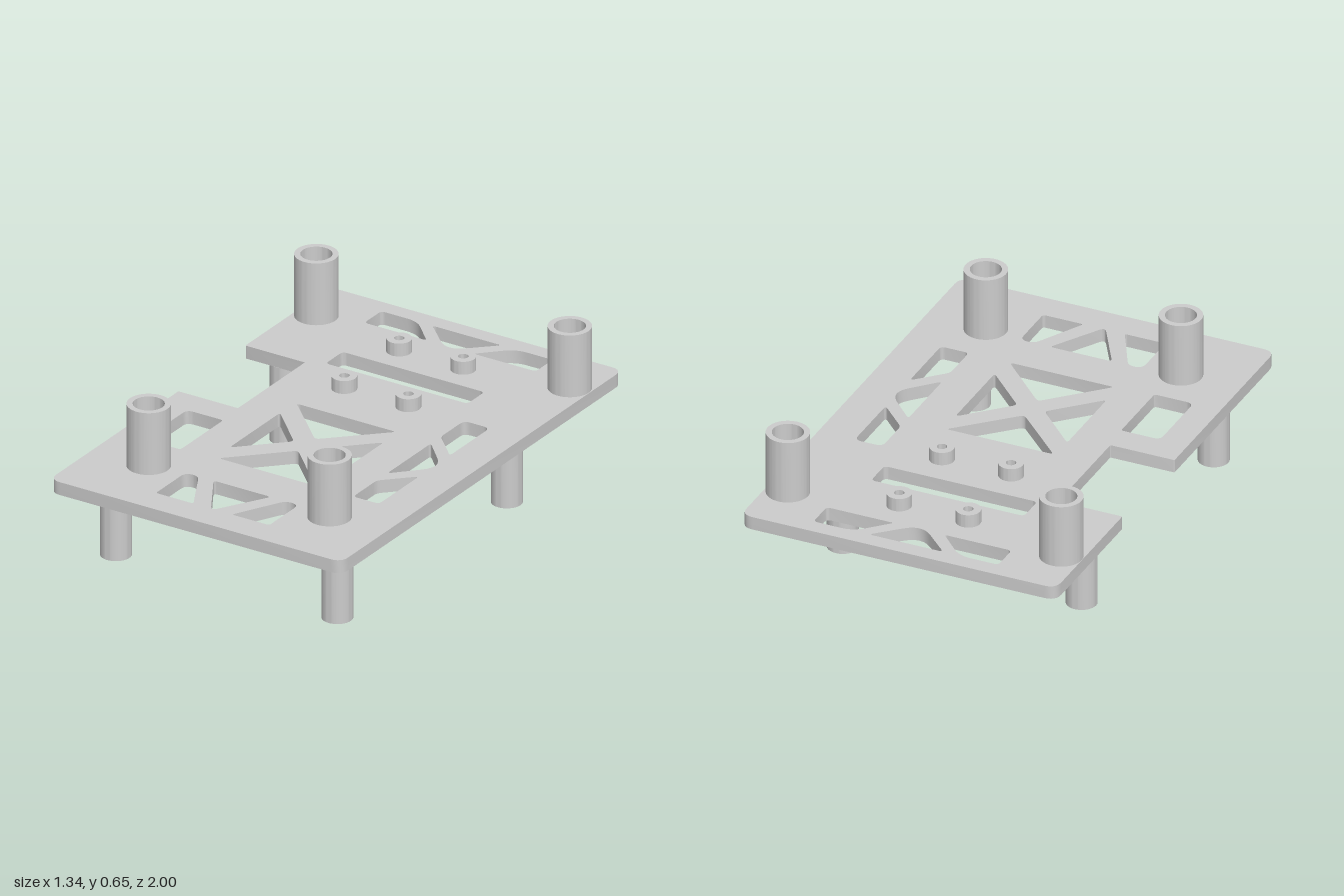
import * as THREE from 'three';
import { toCreasedNormals } from 'three/addons/utils/BufferGeometryUtils.js';

const material = new THREE.MeshStandardMaterial({ color: 0xcccccc });
const PLATE_BOTTOM = 0.33, PLATE_TOP = 0.385;

// Traces a polygon of [x, z, cornerCut] points with rounded corners.
function rounded(path, points, cut = 0.02) {
  const v = points.map(([x, z]) => new THREE.Vector2(x, -z));
  const n = v.length;
  v.forEach((p, i) => {
    const c = points[i][2] ?? cut;
    const toward = (q) => p.clone().add(q.clone().sub(p).setLength(c));
    const a = toward(v[(i + n - 1) % n]), b = toward(v[(i + 1) % n]);
    if (i === 0) path.moveTo(a.x, a.y); else path.lineTo(a.x, a.y);
    path.quadraticCurveTo(p.x, p.y, b.x, b.y);
  });
  path.closePath();
  return path;
}

// Extrudes a flat shape upward between two heights.
function slab(name, shape, y0, y1, curveSegments) {
  const geo = new THREE.ExtrudeGeometry(shape, { depth: y1 - y0, bevelEnabled: false, curveSegments });
  geo.rotateX(-Math.PI / 2).translate(0, y0, 0);
  const mesh = new THREE.Mesh(toCreasedNormals(geo, 0.6), material);
  mesh.name = name;
  return mesh;
}

// Hollow upright cylinder.
function tube(name, x, z, outer, inner, y0, y1) {
  const shape = new THREE.Shape().absarc(0, 0, outer, 0, Math.PI * 2);
  shape.holes.push(new THREE.Path().absarc(0, 0, inner, 0, Math.PI * 2, true));
  const mesh = slab(name, shape, y0, y1, 40);
  mesh.position.set(x, 0, z);
  return mesh;
}

const rect = (x0, x1, z0, z1) => [[x0, z0], [x1, z0], [x1, z1], [x0, z1]];
const mirror = (points) => points.map(([x, z, c]) => [-x, z, c]);

export function createModel() {
  const group = new THREE.Group();

  // Plate outline, counter-clockwise from above, with a notch in the right edge
  const plate = rounded(new THREE.Shape(), [
    [-0.67, -0.393], [-0.397, -0.393], [-0.397, 0.083], [-0.67, 0.083],
    [-0.67, 1, 0.05], [0.669, 1, 0.05], [0.669, -1, 0.05], [-0.67, -1, 0.05],
  ], 0.006);

  // Cutouts that come in mirrored pairs
  const backWedge = [[-0.393, -0.93], [-0.225, -0.93, 0.05], [-0.108, -0.81, 0.015], [-0.393, -0.81]];
  const sideTriangle = [[-0.238, 0.03, 0.02], [-0.238, 0.39, 0.02], [-0.058, 0.21, 0.02]];
  const frontWedge = [[-0.26, 0.667, 0.035], [-0.2, 0.667, 0.026], [-0.088, 0.878, 0.012], [-0.26, 0.878, 0.012]];

  const cutouts = [
    backWedge, mirror(backWedge), sideTriangle, mirror(sideTriangle), frontWedge, mirror(frontWedge),
    // Back triangle and long slot
    [[-0.158, -0.93], [0.158, -0.93], [0, -0.778, 0.08]],
    rect(-0.325, 0.325, -0.55, -0.43),
    // Central crossed truss
    [[-0.228, -0.073, 0.02], [0.228, -0.073, 0.02], [0, 0.15, 0.02]],
    [[-0.222, 0.492, 0.02], [0.222, 0.492, 0.02], [0, 0.27, 0.02]],
    // Front triangle
    [[-0.132, 0.667], [0.132, 0.667], [0, 0.89, 0.03]],
    // Left-side truss
    [[0.396, -0.296, 0.03], [0.514, -0.296, 0.03], [0.514, -0.012], [0.396, -0.13]],
    [[0.396, -0.06], [0.544, 0.094, 0.08], [0.396, 0.25]],
    [[0.514, 0.207], [0.514, 0.492], [0.396, 0.492], [0.396, 0.325]],
    // Right-side window
    [[-0.553, 0.203, 0.03], [-0.387, 0.203, 0.012], [-0.387, 0.507, 0.012], [-0.553, 0.507, 0.03]],
  ];
  for (const points of cutouts) plate.holes.push(rounded(new THREE.Path(), points));
  group.add(slab('plate', plate, PLATE_BOTTOM, PLATE_TOP, 6));

  // Wide sockets on top
  for (const [x, z] of [[-0.583, -0.763], [0.58, -0.763], [-0.415, 0.689], [0.415, 0.689]])
    group.add(tube('topSocket', x, z, 0.086, 0.062, PLATE_TOP, 0.65));

  // Small mounting standoffs
  for (const x of [-0.147, 0.147])
    for (const z of [-0.676, -0.286])
      group.add(tube('standoff', x, z, 0.05, 0.02, PLATE_TOP, 0.44));

  // Legs with a screw bore
  for (const x of [-0.525, 0.491])
    for (const z of [-0.453, 0.752])
      group.add(tube('leg', x, z, 0.062, 0.022, 0, PLATE_BOTTOM));

  return group;
}
